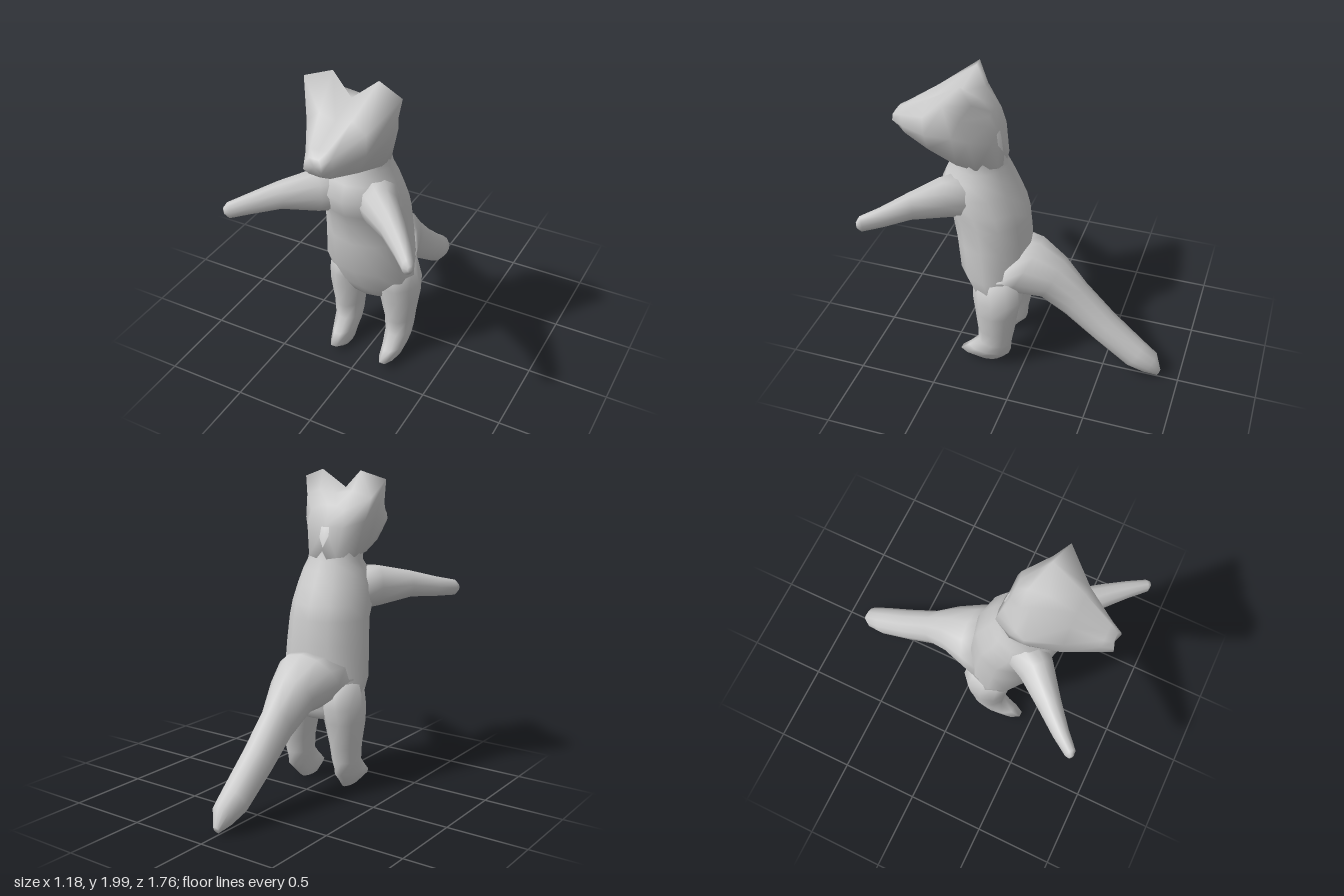
import * as THREE from 'three';

const material = new THREE.MeshStandardMaterial({ color: 0xcccccc, side: THREE.DoubleSide });

// Skin a list of equal-length closed rings of Vector3, capping both ends.
function skin(name, rings) {
  const n = rings[0].length, pos = [], idx = [];
  const centre = (r) => r.reduce((s, p) => s.add(p), new THREE.Vector3()).divideScalar(n);
  rings.forEach((r) => r.forEach((p) => pos.push(p.x, p.y, p.z)));
  const first = centre(rings[0]), last = centre(rings[rings.length - 1]);
  pos.push(...first.toArray(), ...last.toArray());
  // Compare the ring's turning sense with the path so faces point outward
  const turn = new THREE.Vector3();
  rings[1].forEach((p, i) => turn.add(new THREE.Vector3().crossVectors(p, rings[1][(i + 1) % n])));
  const flip = turn.dot(last.clone().sub(first)) < 0;
  const tri = (a, b, c) => (flip ? idx.push(a, c, b) : idx.push(a, b, c));
  const c0 = rings.length * n, top = (rings.length - 1) * n;
  for (let i = 0; i < n; i++) {
    const j = (i + 1) % n;
    for (let k = 0; k < top; k += n) {
      tri(k + i, k + j, k + n + j);
      tri(k + i, k + n + j, k + n + i);
    }
    tri(c0, j, i);
    tri(c0 + 1, top + i, top + j);
  }
  const g = new THREE.BufferGeometry();
  g.setAttribute('position', new THREE.Float32BufferAttribute(pos, 3));
  g.setIndex(idx);
  g.computeVertexNormals();
  const mesh = new THREE.Mesh(g, material);
  mesh.name = name;
  return mesh;
}

// Elliptical sections [x, y, z, radiusU, radiusV] along axes u and v.
function limb(name, sections, u, v, sides = 12) {
  const U = new THREE.Vector3(...u).normalize(), V = new THREE.Vector3(...v).normalize();
  return skin(name, sections.map(([x, y, z, ru, rv]) =>
    Array.from({ length: sides }, (_, i) => {
      const a = (i / sides) * Math.PI * 2;
      return new THREE.Vector3(x, y, z)
        .addScaledVector(U, Math.cos(a) * ru)
        .addScaledVector(V, Math.sin(a) * rv);
    })));
}

// Half outlines from bottom centre to top centre, mirrored into full rings.
function mirroredRing(half) {
  const right = half.map((p) => new THREE.Vector3(...p));
  const left = right.slice(1, -1).reverse().map((p) => new THREE.Vector3(-p.x, p.y, p.z));
  return [...right, ...left];
}

export function createModel() {
  const model = new THREE.Group();

  // Torso and neck: [y, front z, back z, half width]
  const torso = [
    [0.47, 0.30, 0.06, 0.17], [0.54, 0.33, 0.01, 0.27], [0.73, 0.44, -0.01, 0.285],
    [0.95, 0.46, 0.0, 0.27], [1.1, 0.485, 0.01, 0.258], [1.19, 0.53, 0.03, 0.255],
    [1.3, 0.56, 0.075, 0.24], [1.39, 0.52, 0.115, 0.21], [1.45, 0.48, 0.14, 0.175],
    [1.52, 0.48, 0.165, 0.17], [1.66, 0.44, 0.19, 0.17],
  ].map(([y, f, b, w]) => [0, y, (f + b) / 2, w, (f - b) / 2]);
  model.add(limb('torso', torso, [1, 0, 0], [0, 0, 1]));

  // Head from nose to nape, with the ears drawn out of the widest ring
  model.add(skin('head', [
    [[0, 1.61, 0.80], [0.04, 1.62, 0.81], [0.055, 1.66, 0.84],
      [0.05, 1.70, 0.835], [0.03, 1.725, 0.82], [0, 1.725, 0.82]],
    [[0, 1.585, 0.77], [0.06, 1.59, 0.765], [0.085, 1.65, 0.77],
      [0.08, 1.72, 0.77], [0.05, 1.75, 0.77], [0, 1.75, 0.77]],
    [[0, 1.53, 0.62], [0.13, 1.55, 0.59], [0.18, 1.67, 0.59],
      [0.18, 1.79, 0.59], [0.1, 1.86, 0.59], [0, 1.83, 0.59]],
    [[0, 1.48, 0.46], [0.17, 1.5, 0.40], [0.245, 1.72, 0.39],
      [0.30, 1.95, 0.41], [0.14, 2.0, 0.37], [0, 1.89, 0.42]],
    [[0, 1.46, 0.24], [0.165, 1.48, 0.28], [0.22, 1.7, 0.30],
      [0.24, 1.84, 0.34], [0.12, 1.88, 0.31], [0, 1.86, 0.30]],
    [[0, 1.46, 0.15], [0.1, 1.48, 0.165], [0.13, 1.66, 0.19],
      [0.12, 1.76, 0.215], [0.06, 1.79, 0.23], [0, 1.79, 0.23]],
  ].map(mirroredRing)));

  // Tail sloping down and back from the hips
  model.add(limb('tail', [
    [0, 0.74, 0.14, 0.26, 0.19], [0, 0.73, 0.03, 0.225, 0.2], [0, 0.67, -0.15, 0.155, 0.15],
    [0, 0.53, -0.3, 0.105, 0.13], [0, 0.345, -0.5, 0.1, 0.11], [0, 0.17, -0.71, 0.09, 0.1],
    [0, 0.115, -0.81, 0.07, 0.08], [0, 0.045, -0.87, 0.02, 0.025],
  ], [1, 0, 0], [0, 0.88, -0.47]));

  // Arms and legs, one of each per side
  for (const [side, s] of [['left', 1], ['right', -1]]) {
    const mirror = (list) => list.map(([x, ...rest]) => [x * s, ...rest]);
    model.add(limb(side + 'Arm', mirror([
      [0.08, 1.27, 0.33, 0.15, 0.15], [0.21, 1.28, 0.485, 0.105, 0.13],
      [0.36, 1.285, 0.63, 0.072, 0.085], [0.48, 1.262, 0.755, 0.05, 0.064],
      [0.56, 1.25, 0.85, 0.034, 0.05], [0.58, 1.25, 0.865, 0.015, 0.02],
    ]), [0.77 * s, 0, -0.64], [0, 1, 0], 10));

    model.add(limb(side + 'Leg', mirror([
      [0.14, 0.72, 0.18, 0.13, 0.15], [0.165, 0.56, 0.165, 0.135, 0.16],
      [0.175, 0.46, 0.17, 0.125, 0.14], [0.18, 0.3, 0.175, 0.093, 0.12],
      [0.18, 0.2, 0.185, 0.085, 0.11], [0.18, 0.12, 0.225, 0.072, 0.145],
      [0.175, 0.065, 0.28, 0.06, 0.15], [0.16, 0.01, 0.26, 0.03, 0.08],
    ]), [1, 0, 0], [0, 0, 1], 10));
  }
  return model;
}
